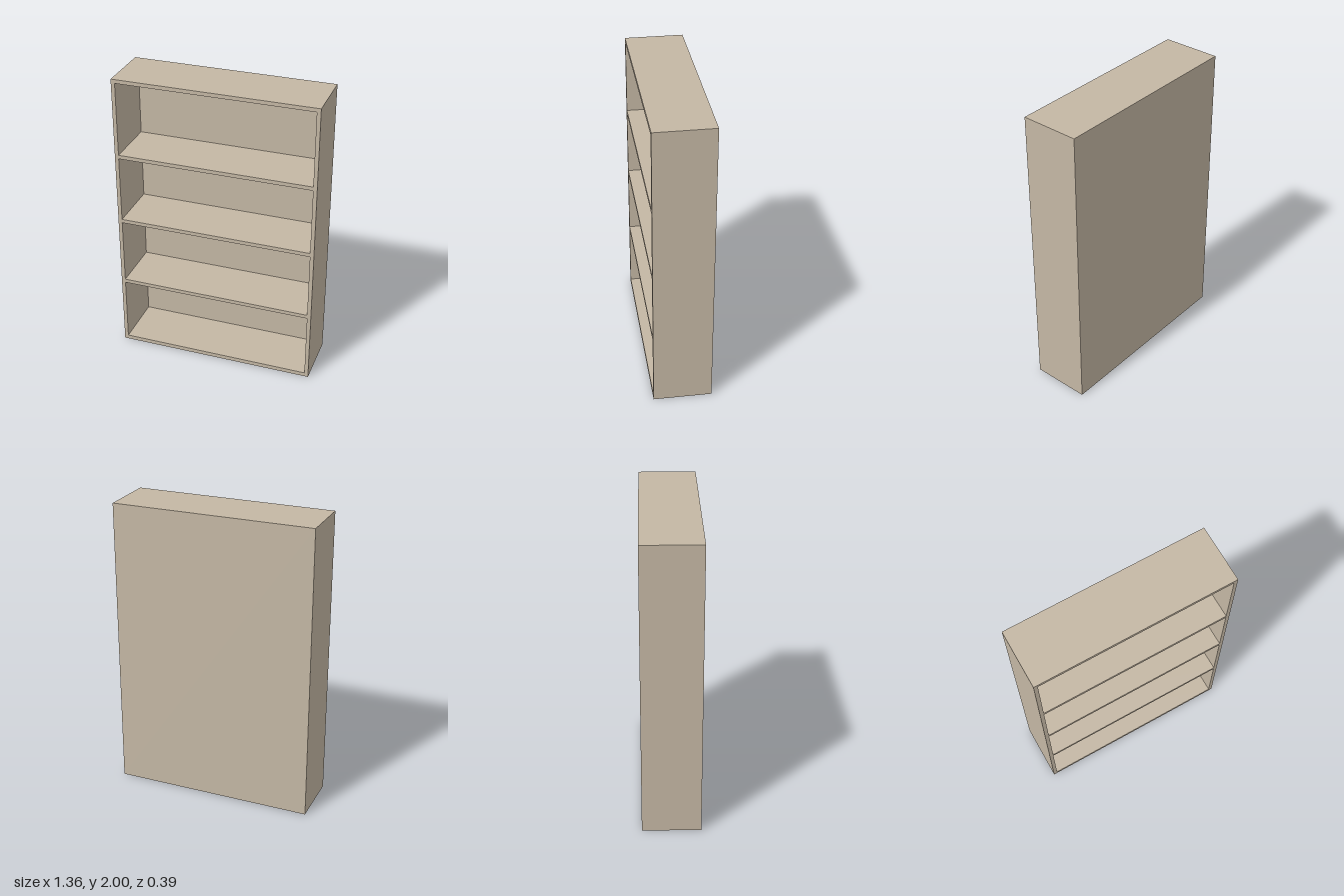
import * as THREE from 'three';

const WIDTH = 1.36, HEIGHT = 2, DEPTH = 0.39;
const BOARD = 0.026, BACK = 0.015;
// bottom and top height of each open compartment
const BAYS = [[0.028, 0.482], [0.508, 0.963], [0.989, 1.445], [1.471, 1.974]];

// traces a rectangle onto a shape or hole path
function rect(path, x0, y0, x1, y1) {
  path.moveTo(x0, y0);
  path.lineTo(x1, y0);
  path.lineTo(x1, y1);
  path.lineTo(x0, y1);
  path.closePath();
  return path;
}

export function createModel() {
  const group = new THREE.Group();
  group.name = 'bookcase';

  const wood = new THREE.MeshStandardMaterial({ color: 0xc4b7a4 });
  wood.name = 'pale wood';

  // sides, top, base and shelves as one frame with four openings
  const outline = rect(new THREE.Shape(), -WIDTH / 2, 0, WIDTH / 2, HEIGHT);
  const inner = WIDTH / 2 - BOARD;
  for (const [low, high] of BAYS) {
    outline.holes.push(rect(new THREE.Path(), -inner, low, inner, high));
  }
  const frame = new THREE.Mesh(
    new THREE.ExtrudeGeometry(outline, { depth: DEPTH - BACK, bevelEnabled: false }), wood);
  frame.name = 'shelfFrame';
  frame.position.z = -DEPTH / 2 + BACK;
  group.add(frame);

  // closed back
  const back = new THREE.Mesh(new THREE.BoxGeometry(WIDTH, HEIGHT, BACK), wood);
  back.name = 'backPanel';
  back.position.set(0, HEIGHT / 2, -DEPTH / 2 + BACK / 2);
  group.add(back);

  return group;
}
